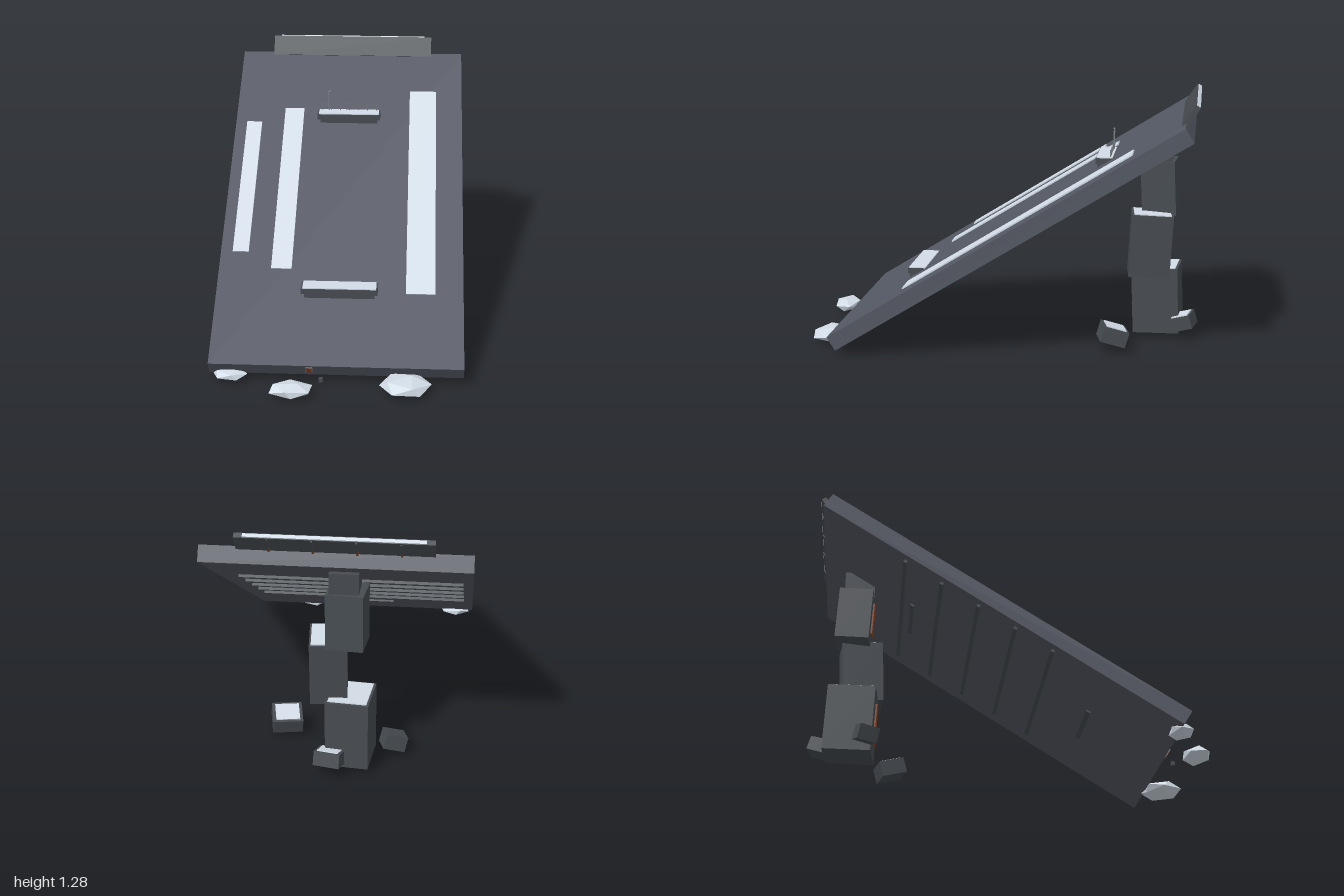
import * as THREE from 'three';

const mat = (name, color) => {
  const m = new THREE.MeshStandardMaterial({ color });
  m.name = name;
  return m;
};

export function createModel() {
  const root = new THREE.Group();
  root.name = 'leaningSlab';
  const slabMat = mat('slab concrete', 0x545863);
  const darkMat = mat('dark concrete', 0x474c51);
  const snowMat = mat('snow', 0xd3dde7);
  const rustMat = mat('rust', 0x8a4526);
  const metalMat = mat('grey metal', 0x83878c);

  const box = (name, m, [w, h, d], [x, y, z], parent = root, rot = [0, 0, 0]) => {
    const mesh = new THREE.Mesh(new THREE.BoxGeometry(w, h, d), m);
    mesh.name = name;
    mesh.position.set(x, y, z);
    mesh.rotation.set(...rot);
    parent.add(mesh);
    return mesh;
  };

  // Sloping slab: local y = 0 is its upper face, local -z runs uphill
  const slope = 0.557;
  const slab = new THREE.Group();
  slab.name = 'slab';
  slab.position.set(0, 0.645, -0.055);
  slab.rotation.x = slope;
  root.add(slab);
  box('slabBody', slabMat, [1.245, 0.08, 2.06], [0, -0.04, 0], slab);

  // Snow strips lying on the upper face
  [[-0.52, 0.083, -0.5, 0.37], [-0.303, 0.105, -0.6, 0.47], [0.407, 0.147, -0.736, 0.607]]
    .forEach(([x, w, s0, s1]) =>
      box('snowStrip', snowMat, [w, 0.008, s1 - s0], [x, 0.003, (s0 + s1) / 2], slab));

  // Battens under the slab
  for (let i = 0; i < 5; i++) {
    box('batten', darkMat, [1.09, 0.024, 0.018], [-0.03, -0.082, -0.54 + i * 0.213], slab);
  }
  box('lowerBatten', darkMat, [0.36, 0.016, 0.025], [0, -0.082, 0.585], slab);
  box('upperBatten', darkMat, [0.33, 0.016, 0.02], [0, -0.082, -0.48], slab);

  // Rusty fitting on the lower end face
  box('fittingFrame', metalMat, [0.034, 0.045, 0.006], [-0.13, -0.034, 1.031], slab);
  box('fittingPlate', rustMat, [0.026, 0.039, 0.006], [-0.13, -0.034, 1.033], slab);

  // Two level ledges with snow on top
  const ledge = (name, w, top, zFront, depth) => {
    const z = zFront - depth / 2;
    box(name + 'Top', darkMat, [w, 0.028, depth], [0, top - 0.018, z]);
    box(name + 'Base', darkMat, [w - 0.03, 0.028, depth - 0.005], [0, top - 0.042, z - 0.005]);
    box(name + 'Snow', snowMat, [w - 0.015, 0.006, depth - 0.008], [0, top - 0.002, z]);
  };
  ledge('upperLedge', 0.345, 0.965, -0.475, 0.09);
  ledge('lowerLedge', 0.385, 0.362, 0.495, 0.095);

  // Railing spikes and hooked rod on the upper ledge
  const rod = (name, h, x, y, z, r = 0.0025) => {
    const m = new THREE.Mesh(new THREE.CylinderGeometry(r, r, h, 6), metalMat);
    m.name = name;
    m.position.set(x, y + h / 2, z);
    root.add(m);
    return m;
  };
  for (let i = 0; i < 7; i++) rod('spike', 0.04, -0.15 + i * 0.05, 0.962, -0.55);
  rod('hookRod', 0.11, -0.112, 0.962, -0.55, 0.004);
  rod('hookTip', 0.018, -0.106, 1.063, -0.55, 0.004).rotation.z = -1.2;

  // Tilted headboard with ribs on its back
  const head = new THREE.Group();
  head.name = 'headboard';
  head.position.set(0, 1.22, -0.95);
  head.rotation.x = -0.59;
  root.add(head);
  box('board', darkMat, [0.9, 0.115, 0.026], [0, 0, 0], head);
  box('boardSnow', snowMat, [0.82, 0.008, 0.018], [0, 0.06, -0.002], head);
  for (let i = 0; i < 4; i++) {
    const x = -0.3 + i * 0.2;
    box('rib', darkMat, [0.008, 0.075, 0.008], [x, 0.015, -0.016], head);
    box('ribRust', rustMat, [0.01, 0.025, 0.008], [x, -0.035, -0.016], head);
  }

  // Stacked support column: width, height, depth / centre / tilt
  const blocks = [
    [[0.21, 0.345, 0.24], [-0.055, 0.192, -0.795], [0.04, -0.09, 0]],
    [[0.18, 0.325, 0.21], [0.055, 0.503, -0.755], [-0.05, 0.09, 0]],
    [[0.18, 0.28, 0.175], [-0.04, 0.787, -0.798], [0.05, -0.09, 0]],
    [[0.14, 0.14, 0.155], [-0.03, 0.965, -0.782], [0, 0, 0]],
  ];
  blocks.forEach(([size, pos, rot], i) => {
    const b = box('columnBlock', darkMat, size, pos, root, rot);
    const [w, h, d] = size;
    if (i < 2) box('blockSnow', snowMat, [w * 0.9, 0.006, d * 0.9], [0, h / 2 + 0.002, 0], b);
    if (i === 0 || i === 2) {
      box('rustPlate', rustMat, [0.06, h * 0.62, 0.009], [0, 0, d / 2 + 0.004], b);
    }
  });

  // Fallen blocks around the column
  [[[0.15, 0.08, 0.13], [0.29, 0.08, -0.585], [-0.3, 0.2, 0.1]],
    [[0.13, 0.07, 0.11], [0.035, 0.088, -0.935], [0.3, -0.2, 0.05]],
    [[0.11, 0.075, 0.1], [-0.26, 0.065, -0.715], [0.15, 0.3, 0.25]]]
    .forEach(([size, pos, rot], i) => {
      const b = box('fallenBlock', darkMat, size, pos, root, rot);
      if (i < 2) {
        box('fallenSnow', snowMat, [size[0] * 0.8, 0.006, size[2] * 0.8], [0, size[1] / 2 + 0.002, 0], b);
      }
    });

  // Faceted snow lumps by the lower edge
  [[-0.518, 0.033, 0.785, 0.087, 0.024, 0.06, 0.3],
    [-0.21, 0.034, 0.93, 0.112, 0.031, 0.07, -0.1],
    [0.34, 0.037, 0.865, 0.125, 0.034, 0.105, 0.5]]
    .forEach(([x, y, z, rx, ry, rz, turn]) => {
      const g = new THREE.IcosahedronGeometry(1, 0);
      g.rotateY(turn).rotateZ(0.25).scale(rx * 1.05, ry * 1.1, rz * 1.08);
      g.computeVertexNormals();
      const lump = new THREE.Mesh(g, snowMat);
      lump.name = 'snowLump';
      lump.position.set(x, y, z);
      root.add(lump);
    });
  box('pebble', darkMat, [0.02, 0.02, 0.02], [-0.07, 0.04, 0.842]);

  return root;
}
